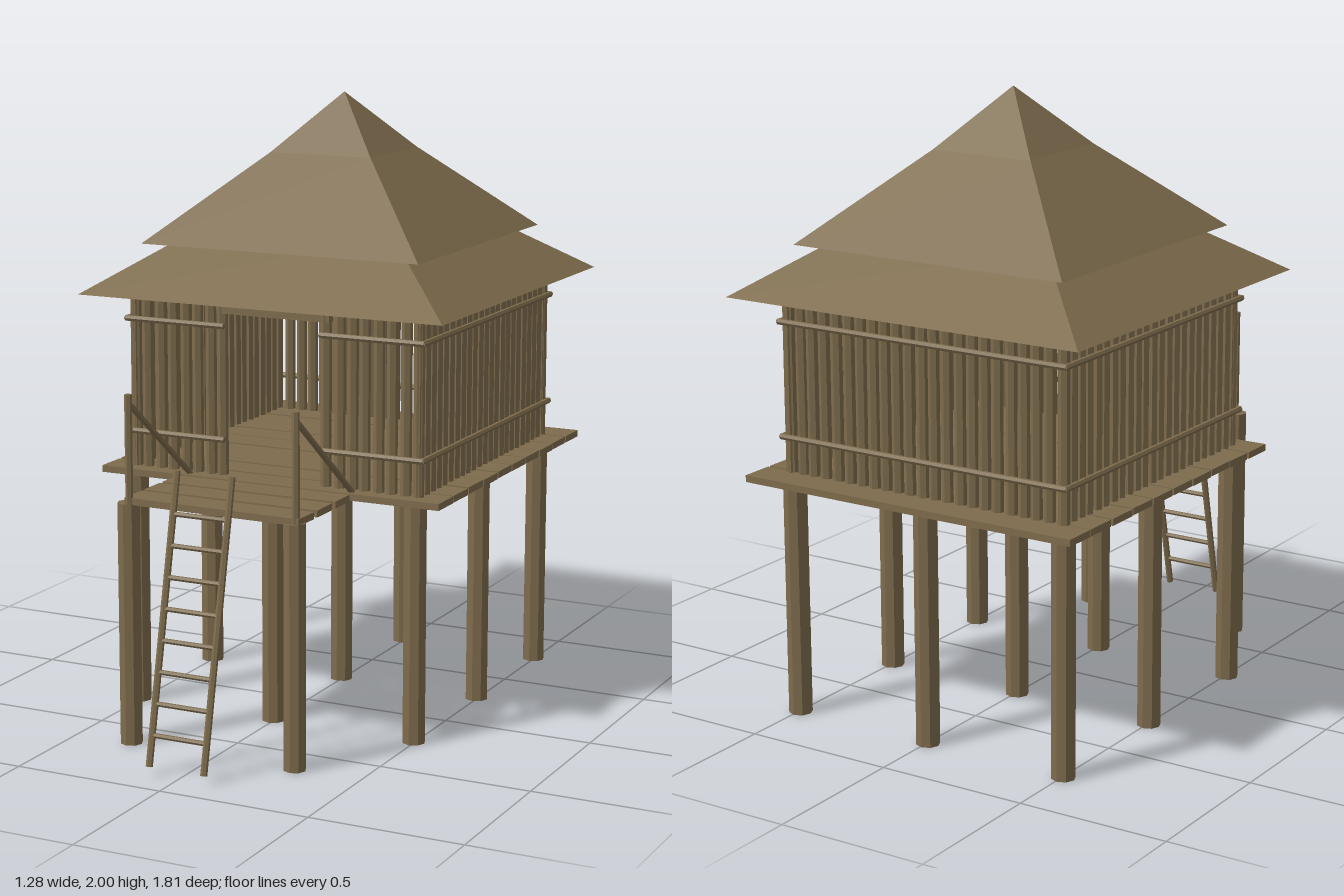
import * as THREE from 'three';

export function createModel() {
  const model = new THREE.Group();
  const wood = new THREE.MeshStandardMaterial({ color: 0x7d6b4c, flatShading: true });
  wood.name = 'weatheredWood';
  const thatch = new THREE.MeshStandardMaterial({ color: 0x7e6c4d, flatShading: true, side: THREE.DoubleSide });
  thatch.name = 'thatch';

  let seed = 7;
  const rand = () => (seed = (seed * 16807) % 2147483647) / 2147483647;
  const vary = (amount) => (rand() - 0.5) * 2 * amount;
  const up = new THREE.Vector3(0, 1, 0);

  const group = (name) => {
    const g = new THREE.Group();
    g.name = name;
    model.add(g);
    return g;
  };

  // Round timber between two points
  function pole(parent, name, a, b, radius, sides = 6) {
    const from = new THREE.Vector3(...a), to = new THREE.Vector3(...b);
    const dir = to.clone().sub(from);
    const mesh = new THREE.Mesh(new THREE.CylinderGeometry(radius, radius, dir.length(), sides), wood);
    mesh.position.copy(from).add(to).multiplyScalar(0.5);
    mesh.quaternion.setFromUnitVectors(up, dir.normalize());
    mesh.name = name;
    parent.add(mesh);
  }

  function plank(parent, name, w, h, d, x, y, z, turn = 0) {
    const mesh = new THREE.Mesh(new THREE.BoxGeometry(w, h, d), wood);
    mesh.position.set(x, y, z);
    mesh.rotation.y = turn;
    mesh.name = name;
    parent.add(mesh);
  }

  const CZ = -0.265;   // centre of the hut
  const HALF = 0.505;  // half width of the walls
  const FLOOR = 0.805;

  // Stilts under the hut and the porch
  const stilts = group('stilts');
  for (const x of [-0.505, -0.005, 0.495])
    for (const z of [0.24, CZ, -0.77]) pole(stilts, 'stilt', [x, 0, z], [x, 0.785, z], 0.038, 8);
  for (const x of [-0.303, 0.277]) pole(stilts, 'porchStilt', [x, 0, 0.645], [x, 0.785, 0.645], 0.036, 8);

  // Floor and porch boards
  const floor = group('floor');
  for (let i = 0; i < 10; i++)
    plank(floor, 'floorBoard', 1.2, 0.022, 0.112, 0, 0.793 + vary(0.002), 0.247 - i * 0.1195, vary(0.006));
  for (let i = 0; i < 3; i++)
    plank(floor, 'porchBoard', 0.61, 0.022, 0.102, 0, 0.793, 0.617 - i * 0.121, (i - 1) * 0.012);

  // Palisade walls: a row of upright poles held by two rails on each side
  const COUNT = 23;
  for (let side = 0; side < 4; side++) {
    const wall = group(['frontWall', 'leftWall', 'backWall', 'rightWall'][side]);
    wall.position.set(0, 0, CZ);
    wall.rotation.y = side * Math.PI / 2;
    for (let i = 0; i < COUNT; i++) {
      const x = -HALF + (2 * HALF * i) / (COUNT - 1);
      if (side === 0 && Math.abs(x) < 0.17) continue; // doorway
      const px = x + vary(0.003);
      pole(wall, 'wallPole', [px, FLOOR - 0.01, HALF], [px, 1.363 + vary(0.009), HALF], 0.018);
    }
    const spans = side === 0 ? [[-0.53, -0.17], [0.17, 0.53]] : [[-0.53, 0.53]];
    for (const y of [0.92, 1.29])
      for (const [a, b] of spans) pole(wall, 'wallRail', [a, y, HALF + 0.02], [b, y, HALF + 0.02], 0.01);
    if (side === 0) plank(wall, 'doorLintel', 0.4, 0.035, 0.03, 0, 1.347, HALF);
  }

  // Two-tier thatched roof, the upper tier bending towards the peak
  const roof = group('roof');
  function tier(name, bottom, top, y0, y1) {
    const geo = new THREE.CylinderGeometry(top * Math.SQRT2, bottom * Math.SQRT2, y1 - y0, 4, 1, true);
    geo.rotateY(Math.PI / 4);
    const mesh = new THREE.Mesh(geo, thatch);
    mesh.position.set(0, (y0 + y1) / 2, CZ);
    mesh.name = name;
    roof.add(mesh);
  }
  tier('lowerRoof', 0.64, 0.34, 1.375, 1.58);
  tier('upperRoof', 0.49, 0.18, 1.53, 1.81);
  tier('roofPeak', 0.18, 0, 1.81, 2);

  // Porch posts with slanting handrails
  const porchRails = group('porchRails');
  for (const x of [-0.29, 0.29]) {
    pole(porchRails, 'railPost', [x, 0.78, 0.662], [x, 1.132, 0.662], 0.012);
    pole(porchRails, 'handrail', [x, 1.105, 0.662], [x, 0.8, 0.27], 0.01);
  }

  // Leaning ladder
  const ladder = group('ladder');
  for (const x of [-0.095, 0.095]) pole(ladder, 'ladderSide', [x, 0.03, 0.896], [x, 0.92, 0.704], 0.011);
  for (let i = 0; i < 8; i++) {
    const y = 0.125 + i * 0.095;
    const z = 0.896 - ((y - 0.03) / 0.89) * 0.192;
    pole(ladder, 'rung', [-0.095, y, z], [0.095, y, z], 0.008);
  }

  return model;
}
